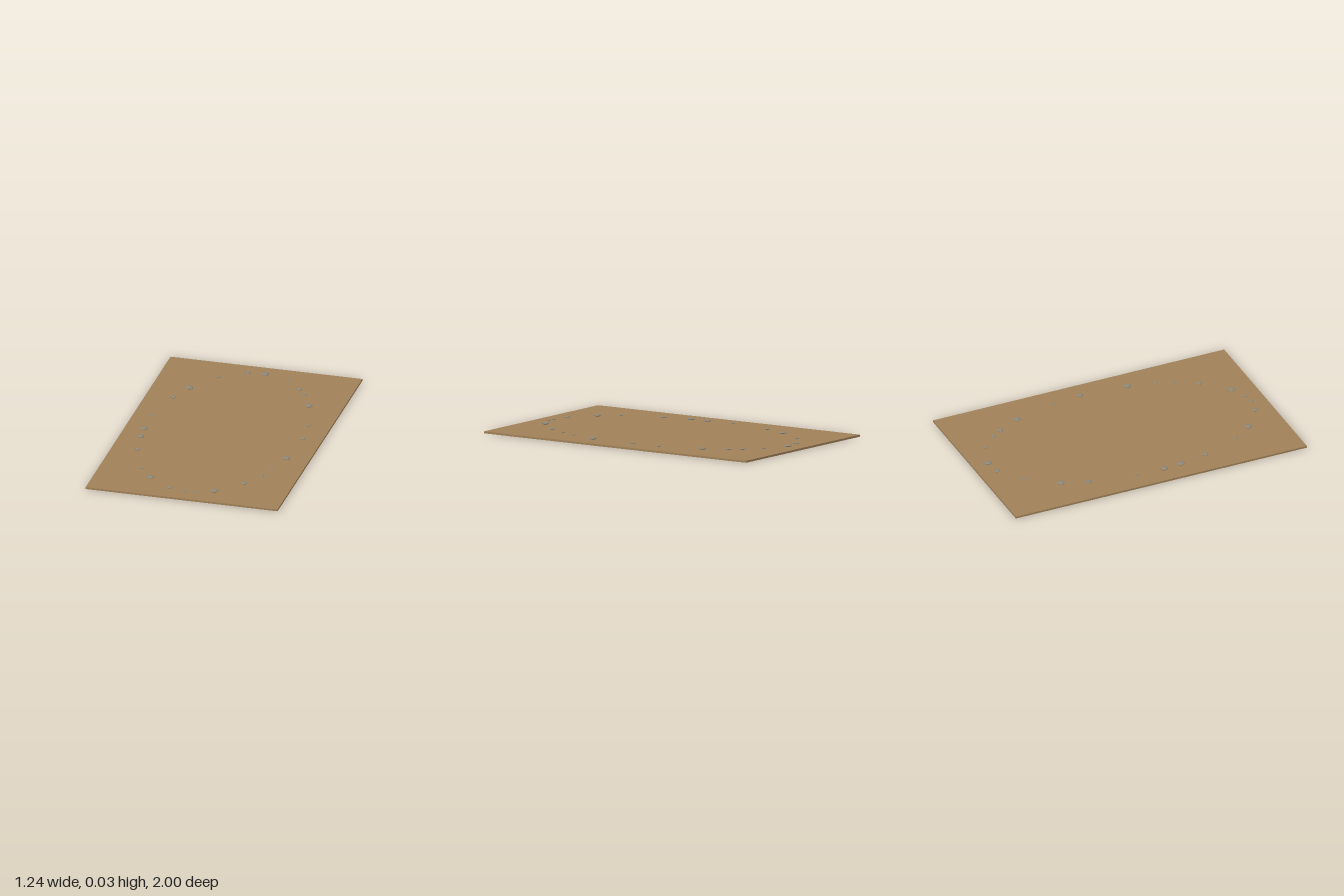
import * as THREE from 'three';

const RADII = { s: 0.0125, m: 0.0175, l: 0.023 };

// Stones around the oval: [angle in degrees from +x towards +z, size]
const STONES = [
  [17.3, 'l'], [29.8, 's'], [37.6, 's'], [50.1, 'm'], [70, 'l'],
  [82.6, 's'], [90, 's'], [102.7, 'm'], [122.6, 'l'], [135.1, 's'],
  [155, 'm'], [167.4, 'l'], [175.1, 'l'], [187.5, 's'], [207.7, 'm'],
  [220.1, 'l'], [240, 's'], [259.7, 'm'], [272.2, 'l'], [292.2, 's'],
  [304.8, 'm'], [312.1, 'm'], [324.7, 'l'], [344.7, 's'], [357.1, 'm'],
];

export function createModel() {
  const model = new THREE.Group();
  model.name = 'stoneOval';
  const earth = new THREE.MeshStandardMaterial({ color: 0xa08058 });
  const rock = new THREE.MeshStandardMaterial({ color: 0x8c8778 });

  // Thin slab of ground
  const height = 0.0125;
  const ground = new THREE.Mesh(new THREE.BoxGeometry(1.244, height, 2), earth);
  ground.name = 'ground';
  ground.position.y = height / 2;
  model.add(ground);

  // Flattened pebbles laid along an ellipse
  const pebble = new THREE.SphereGeometry(1, 16, 10);
  const stones = new THREE.Group();
  stones.name = 'stones';
  STONES.forEach(([degrees, size], i) => {
    const a = THREE.MathUtils.degToRad(degrees);
    const r = RADII[size];
    const stone = new THREE.Mesh(pebble, rock);
    stone.name = `stone${i + 1}`;
    stone.scale.set(r, r * 0.3, r);
    stone.position.set(0.5 * Math.cos(a), 0.0185, 0.9 * Math.sin(a));
    stones.add(stone);
  });
  model.add(stones);

  return model;
}
